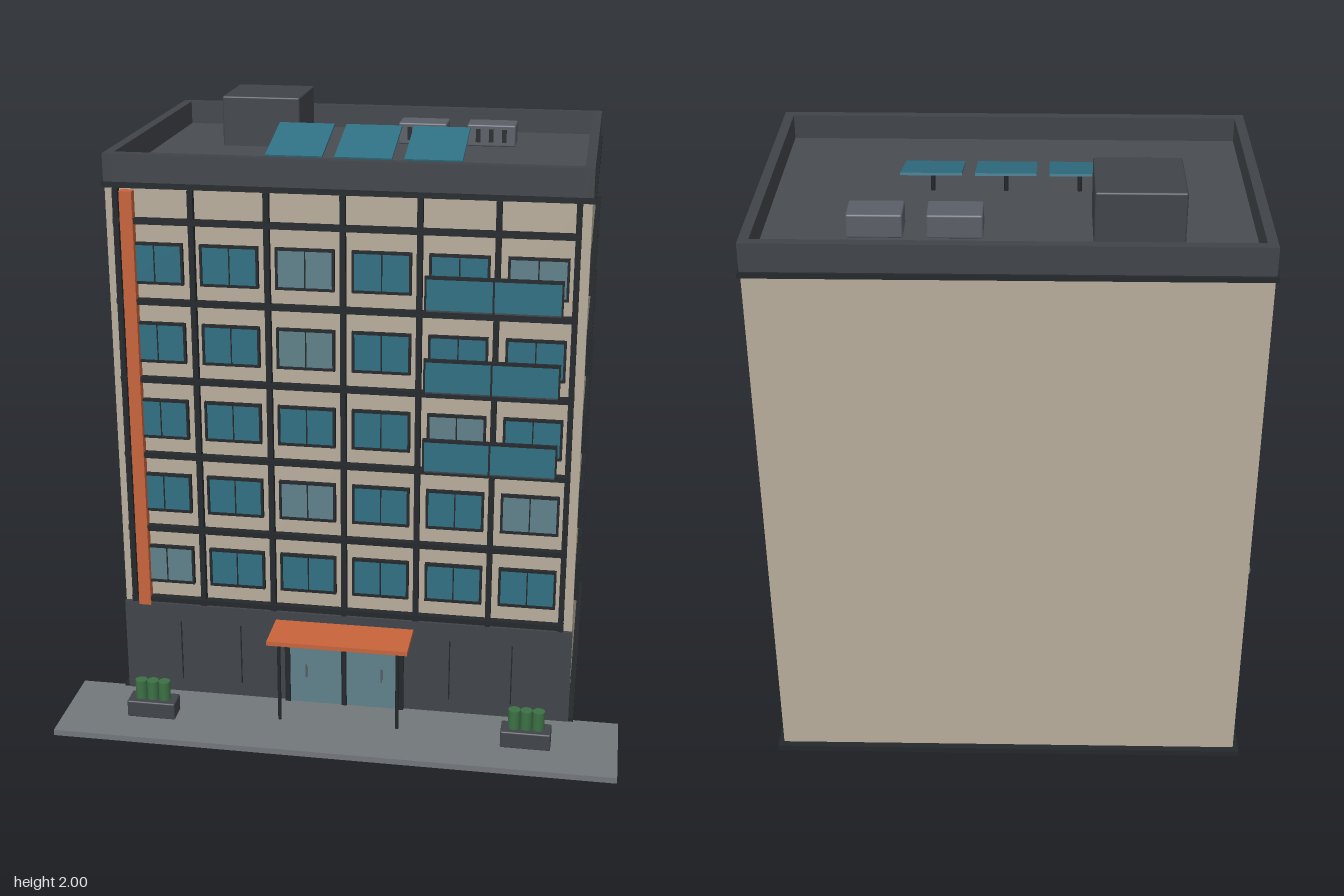
import * as THREE from 'three';
import { RoundedBoxGeometry } from 'three/addons/geometries/RoundedBoxGeometry.js';

const mat = (color) => new THREE.MeshStandardMaterial({ color });

export function createModel() {
  const model = new THREE.Group();
  const M = {
    wall: mat(0xb8ad9c), dark: mat(0x404449), trim: mat(0x24282c), deck: mat(0x484c51),
    glass: mat(0x2f6f82), pale: mat(0x5f8089), orange: mat(0xc8643c),
    paving: mat(0x72777b), metal: mat(0x5a5e66), plant: mat(0x3c7044),
  };

  const add = (name, geometry, material, x, y, z, parent = model) => {
    const mesh = new THREE.Mesh(geometry, material);
    mesh.name = name;
    mesh.position.set(x, y, z);
    parent.add(mesh);
    return mesh;
  };
  // Box given by its limits on each axis
  const box = (name, material, [x0, x1], [y0, y1], [z0, z1], parent) =>
    add(name, new THREE.BoxGeometry(x1 - x0, y1 - y0, z1 - z0), material,
      (x0 + x1) / 2, (y0 + y1) / 2, (z0 + z1) / 2, parent);
  const group = (name, parent = model) => {
    const g = new THREE.Group();
    g.name = name;
    parent.add(g);
    return g;
  };

  // Ground and main block
  box('pavement', M.paving, [-0.935, 0.935], [0, 0.02], [0.355, 0.69]);
  box('plinth', M.trim, [-0.783, 0.783], [0.012, 0.032], [-0.69, 0.366]);
  box('mainBlock', M.wall, [-0.765, 0.765], [0.014, 1.815], [-0.668, 0.355]);
  box('groundFloorCladding', M.dark, [-0.767, 0.767], [0.02, 0.355], [0.345, 0.368]);
  for (const x of [-0.57, -0.36, 0.36, 0.57])
    box('claddingSeam', M.trim, [x - 0.002, x + 0.002], [0.07, 0.29], [0.366, 0.37]);

  // Roof: cornice, parapet walls and deck
  box('cornice', M.trim, [-0.775, 0.775], [1.803, 1.82], [-0.678, 0.366]);
  box('roofDeck', M.deck, [-0.75, 0.75], [1.815, 1.83], [-0.655, 0.345]);
  for (const s of [-1, 1])
    box('parapetSide', M.dark, s < 0 ? [-0.768, -0.737] : [0.737, 0.768], [1.815, 1.91], [-0.67, 0.358]);
  box('parapetFront', M.dark, [-0.737, 0.737], [1.815, 1.91], [0.325, 0.358]);
  box('parapetBack', M.dark, [-0.737, 0.737], [1.815, 1.91], [-0.67, -0.64]);

  // Rooftop equipment
  add('stairHouse', new RoundedBoxGeometry(0.27, 0.18, 0.27, 2, 0.006), M.dark, -0.385, 1.91, -0.368);
  for (const x of [0.16, 0.398]) {
    const unit = group('airConditioner');
    add('unitCase', new RoundedBoxGeometry(0.168, 0.075, 0.11, 2, 0.006), M.metal, x, 1.8675, -0.405, unit);
    for (const dx of [-0.045, 0, 0.045])
      box('ventSlot', M.trim, [x + dx - 0.008, x + dx + 0.008], [1.845, 1.89], [-0.352, -0.347], unit);
  }
  for (const x of [-0.215, 0.015, 0.245]) {
    const solar = group('solarPanel');
    const panel = add('panelFace', new THREE.BoxGeometry(0.19, 0.008, 0.256), M.glass, x, 1.889, -0.065, solar);
    panel.rotation.x = 0.25;
    add('panelPost', new THREE.CylinderGeometry(0.007, 0.007, 0.07, 8), M.trim, x, 1.86, -0.1, solar);
  }

  // Window built facing +z, centred on its own origin
  const makeWindow = (name, w, h, glass, split) => {
    const g = group(name);
    const t = 0.008;
    box('pane', glass, [-w / 2 + t, w / 2 - t], [-h / 2 + t, h / 2 - t], [-0.004, 0.009], g);
    for (const s of [-1, 1]) {
      add('frameUpright', new THREE.BoxGeometry(t, h, 0.02), M.trim, s * (w - t) / 2, 0, 0.005, g);
      add('frameRail', new THREE.BoxGeometry(w, t, 0.02), M.trim, 0, s * (h - t) / 2, 0.005, g);
    }
    if (split) add('mullion', new THREE.BoxGeometry(0.004, h, 0.012), M.trim, 0, 0, 0.005, g);
    return g;
  };

  // Front and side windows; some front panes are lighter
  const palePanes = [[0], [2, 5], [4], [2], [2, 5]];
  for (let row = 0; row < 5; row++) {
    const y = 0.505 + row * 0.264;
    for (let col = 0; col < 6; col++) {
      const glass = palePanes[row].includes(col) ? M.pale : M.glass;
      makeWindow('frontWindow', 0.19, 0.136, glass, true).position.set((col - 2.5) * 0.2445, y, 0.355);
    }
    for (let col = 0; col < 4; col++) {
      const win = makeWindow('sideWindow', 0.16, 0.136, M.glass, false);
      win.position.set(0.765, y, 0.207 - col * 0.2225);
      win.rotation.y = Math.PI / 2;
    }
  }

  // Facade grid and accent fin
  for (let i = -3; i <= 3; i++) {
    const x = i * 0.2425;
    box('facadeColumn', M.trim, [x - 0.009, x + 0.009], [0.36, 1.803], [0.35, 0.376]);
  }
  for (let i = 0; i < 6; i++) {
    const y = 0.375 + i * 0.265;
    box('facadeBeam', M.trim, [-0.737, 0.737], [y - 0.009, y + 0.009], [0.35, 0.38]);
  }
  box('accentFin', M.orange, [-0.711, -0.67], [0.355, 1.797], [0.35, 0.386]);

  // Balconies
  for (const y of [0.948, 1.213, 1.478]) {
    const balcony = group('balcony');
    box('balconyFloor', M.dark, [0.272, 0.692], [y, y + 0.014], [0.355, 0.485], balcony);
    box('balconyGlass', M.glass, [0.275, 0.692], [y + 0.006, y + 0.106], [0.48, 0.488], balcony);
    box('balconyRail', M.trim, [0.272, 0.695], [y + 0.104, y + 0.113], [0.478, 0.492], balcony);
    for (const x of [0.275, 0.4835, 0.692])
      box('balconyPost', M.trim, [x - 0.003, x + 0.003], [y, y + 0.106], [0.479, 0.49], balcony);
  }

  // Entrance with double doors and canopy
  const entrance = group('entrance');
  box('doorHead', M.trim, [-0.205, 0.205], [0.278, 0.3], [0.36, 0.38], entrance);
  box('doorCentrePost', M.trim, [-0.009, 0.009], [0.02, 0.28], [0.36, 0.38], entrance);
  for (const s of [-1, 1]) {
    add('doorGlass', new THREE.BoxGeometry(0.178, 0.26, 0.014), M.pale, s * 0.098, 0.15, 0.368, entrance);
    add('doorJamb', new THREE.BoxGeometry(0.018, 0.28, 0.02), M.trim, s * 0.196, 0.16, 0.37, entrance);
    add('doorHandle', new THREE.CylinderGeometry(0.003, 0.003, 0.05, 8), M.metal, s * 0.13, 0.145, 0.381, entrance);
    add('canopyPost', new THREE.CylinderGeometry(0.006, 0.006, 0.295, 12), M.trim, s * 0.2, 0.165, 0.5, entrance);
  }
  box('canopy', M.orange, [-0.236, 0.236], [0.31, 0.325], [0.355, 0.528], entrance);

  // Planters
  for (const x of [-0.633, 0.633]) {
    const planter = group('planter');
    add('planterBox', new RoundedBoxGeometry(0.165, 0.06, 0.075, 2, 0.005), M.dark, x, 0.048, 0.526, planter);
    for (const dx of [-0.04, 0, 0.04])
      add('shrub', new THREE.CylinderGeometry(0.02, 0.02, 0.072, 16), M.plant, x + dx, 0.108, 0.526, planter);
  }
  return model;
}
